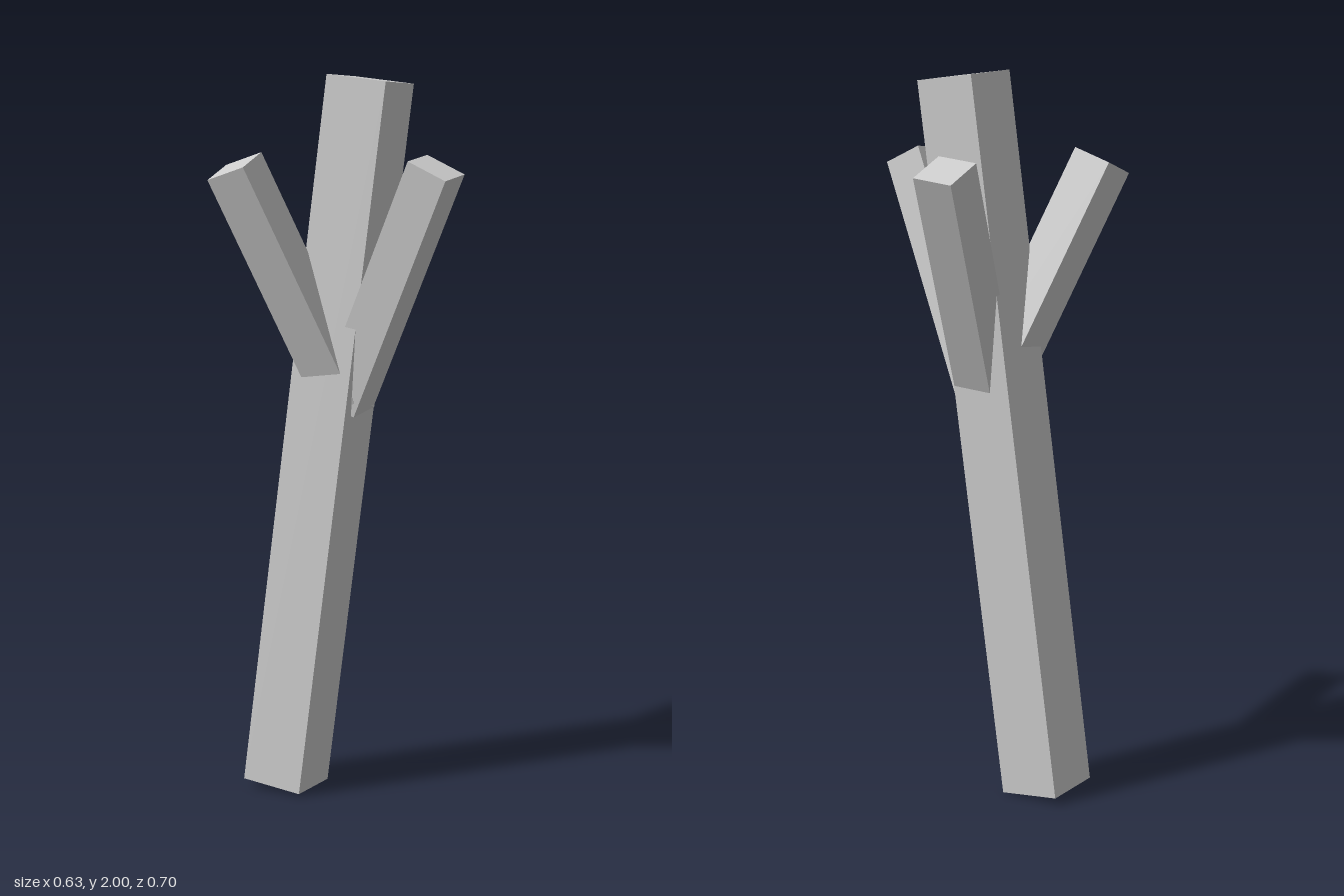
import * as THREE from 'three';

const UP = new THREE.Vector3(0, 1, 0);

// Square beam running from one point to another, its corners on the x and z axes before tilting
function beam(name, from, to, radius, material) {
  const axis = to.clone().sub(from);
  const mesh = new THREE.Mesh(
    new THREE.CylinderGeometry(radius, radius, axis.length(), 4), material);
  mesh.name = name;
  mesh.position.copy(from).add(to).multiplyScalar(0.5);
  mesh.quaternion.setFromUnitVectors(UP, axis.normalize());
  return mesh;
}

export function createModel() {
  const model = new THREE.Group();
  model.name = 'tree';

  const grey = new THREE.MeshStandardMaterial({ color: 0xcccccc, flatShading: true });
  grey.name = 'grey';

  // Leaning trunk
  model.add(beam('trunk',
    new THREE.Vector3(-0.074, 0.017, -0.083),
    new THREE.Vector3(0.137, 1.986, 0.02), 0.125, grey));

  // Three branches fanning out evenly from one point inside the trunk
  const base = new THREE.Vector3(0.076, 1.107, 0);
  const names = ['frontBranch', 'rightBranch', 'backBranch'];
  names.forEach((name, i) => {
    const angle = Math.PI / 3 + i * Math.PI * 2 / 3;
    const tip = new THREE.Vector3(Math.cos(angle) * 0.314, 0.65, Math.sin(angle) * 0.314).add(base);
    model.add(beam(name, base, tip, 0.083, grey));
  });

  return model;
}
